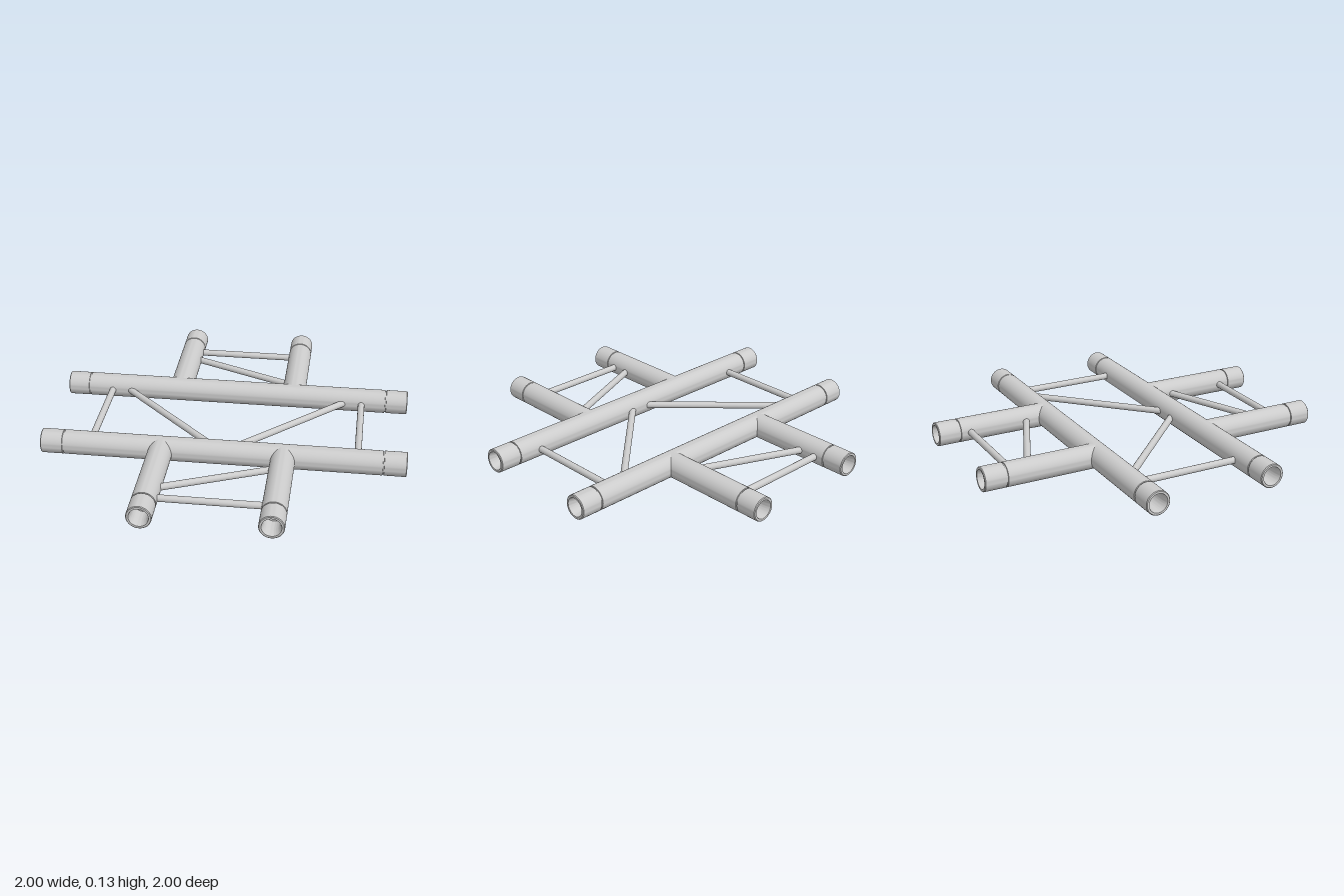
import * as THREE from 'three';
import { toCreasedNormals } from 'three/addons/utils/BufferGeometryUtils.js';

const R = 0.067;        // main tube radius
const OFFSET = 0.335;   // tube axis distance from the centre
const BRACE_R = 0.019;
const UP = new THREE.Vector3(0, 1, 0);

export function createModel() {
  const group = new THREE.Group();
  const material = new THREE.MeshStandardMaterial({ color: 0xcccccc, side: THREE.DoubleSide });

  const add = (name, geometry) => {
    const mesh = new THREE.Mesh(geometry, material);
    mesh.name = name;
    group.add(mesh);
    return mesh;
  };

  // Outer skin, joint groove, end rim and tapered socket, from the axis length `from` to the open end
  const endProfile = (from) => [
    [R, from], [R, 0.871], [R - 0.005, 0.872], [R - 0.005, 0.878], [R, 0.879],
    [R, 0.996], [R - 0.004, 1], [0.052, 1], [0.044, 0.96], [0.044, 0.88], [0, 0.88],
  ];
  const tubeGeometry = (points) => toCreasedNormals(
    new THREE.LatheGeometry(points.map(([r, y]) => new THREE.Vector2(r, y)), 48), 0.5);

  const half = endProfile(0);
  const mirrored = half.slice(1).reverse().map(([r, y]) => [r, -y]);
  const railGeometry = tubeGeometry([...mirrored, ...half.slice(1)]);
  const stubGeometry = tubeGeometry(endProfile(OFFSET));

  // Round brace between two [x, z] points, sunk a little into the tubes
  const brace = (name, [x1, z1], [x2, z2]) => {
    const a = new THREE.Vector3(x1, R, z1);
    const b = new THREE.Vector3(x2, R, z2);
    const direction = b.clone().sub(a);
    const length = direction.length() + 0.06;
    const mesh = add(name, new THREE.CylinderGeometry(BRACE_R, BRACE_R, length, 24));
    mesh.position.copy(a).add(b).multiplyScalar(0.5);
    mesh.quaternion.setFromUnitVectors(UP, direction.normalize());
  };

  const inner = OFFSET - R;
  for (const s of [-1, 1]) {
    // Through rail
    const rail = add(s > 0 ? 'frontRail' : 'backRail', railGeometry);
    rail.rotation.z = -Math.PI / 2;
    rail.position.set(0, R, s * OFFSET);

    // Two branch tubes on this side
    for (const sx of [-1, 1]) {
      const stub = add(`${s > 0 ? 'front' : 'back'}${sx > 0 ? 'Left' : 'Right'}Branch`, stubGeometry);
      stub.rotation.x = s * Math.PI / 2;
      stub.position.set(sx * OFFSET, R, 0);
    }

    // Bracing between the branches
    brace('branchCrossBrace', [-inner, s * 0.815], [inner, s * 0.815]);
    brace('branchDiagonalBrace', [-inner, s * 0.71], [inner, s * 0.482]);

    // Bracing between the rails
    brace('railCrossBrace', [s * 0.735, -inner], [s * 0.735, inner]);
    brace('railDiagonalBrace', [s * 0.615, -inner], [s * 0.07, inner]);
  }
  return group;
}
